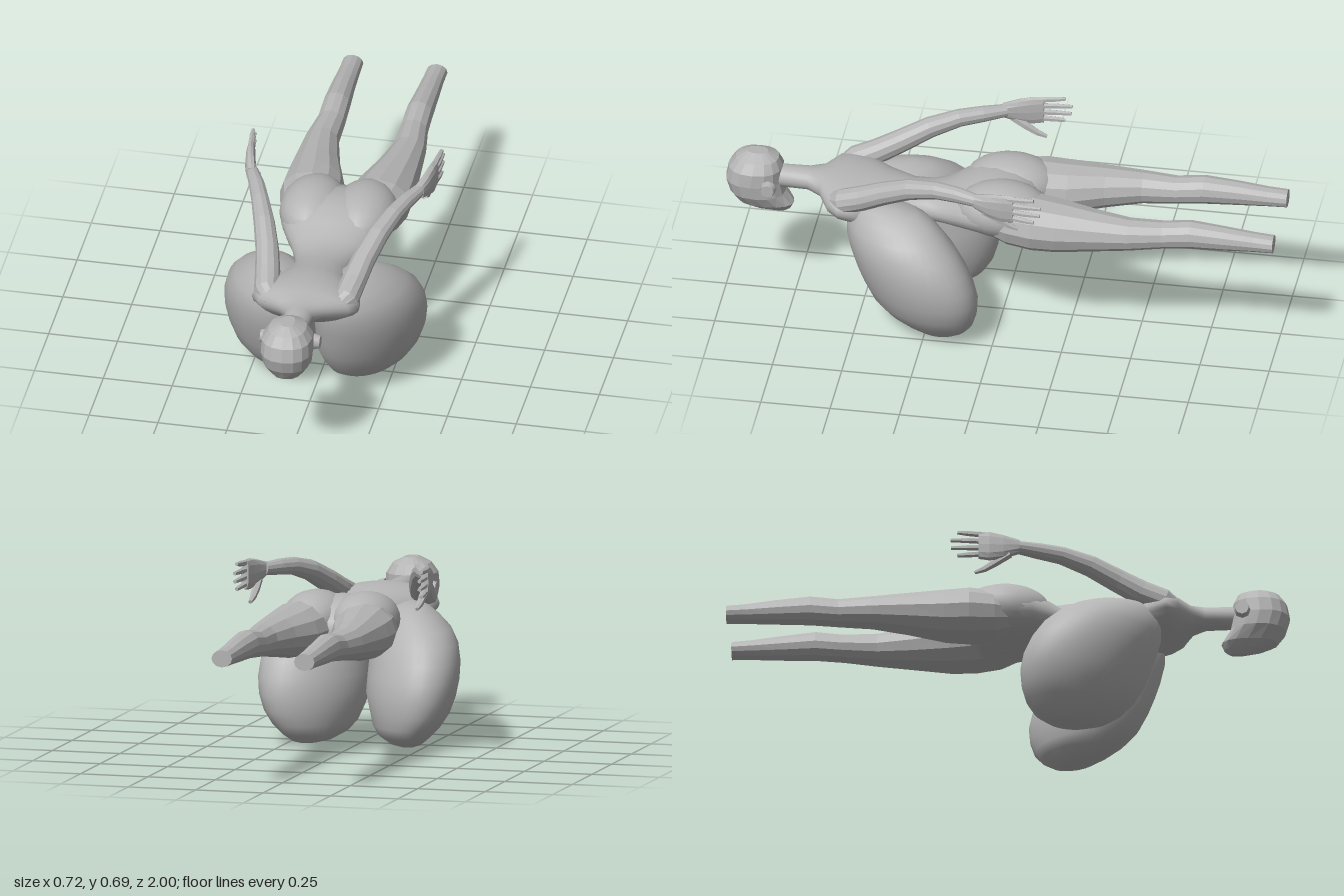
import * as THREE from 'three';

const V = (x, y, z) => new THREE.Vector3(x, y, z);

// Skin a list of rounded rings {c, u, v}; u x v points along the travel direction.
// power 1 gives ellipses, lower values give squarer rings.
function loft(rings, sides, flat = true, power = 1) {
  const pos = [], idx = [];
  const bulge = (t) => Math.sign(t) * Math.abs(t) ** power;
  for (const { c, u, v } of rings)
    for (let i = 0; i < sides; i++) {
      const a = (i / sides) * Math.PI * 2;
      const p = c.clone().addScaledVector(u, bulge(Math.cos(a))).addScaledVector(v, bulge(Math.sin(a)));
      pos.push(p.x, p.y, p.z);
    }
  const last = rings.length - 1;
  for (let r = 0; r < last; r++)
    for (let i = 0; i < sides; i++) {
      const j = (i + 1) % sides, a = r * sides, b = a + sides;
      idx.push(a + i, a + j, b + j, a + i, b + j, b + i);
    }
  // End caps
  const s = pos.length / 3;
  pos.push(...rings[0].c.toArray(), ...rings[last].c.toArray());
  for (let i = 0; i < sides; i++) {
    const j = (i + 1) % sides;
    idx.push(s, j, i, s + 1, last * sides + i, last * sides + j);
  }
  let g = new THREE.BufferGeometry();
  g.setAttribute('position', new THREE.Float32BufferAttribute(pos, 3));
  g.setIndex(idx);
  if (flat) g = g.toNonIndexed();
  g.computeVertexNormals();
  return g;
}

// Rows along z: [z, centre x, half width, bottom y, top y]
const alongZ = (rows, m = 1) => rows.map(([z, x, hx, y0, y1]) => ({
  c: V(x * m, (y0 + y1) / 2, z), u: V(hx, 0, 0), v: V(0, (y1 - y0) / 2, 0),
}));

// Rows along y: [y, min x, max x, min z, max z]; skew swings the outer side backwards
const alongY = (rows, m = 1, skew = 0) => rows.map(([y, x0, x1, z0, z1]) => {
  const hz = (z1 - z0) / 2;
  return {
    c: V(m * (x0 + x1) / 2, y, (z0 + z1) / 2),
    u: V(0, 0, hz * Math.sqrt(1 - skew * skew)),
    v: V((x1 - x0) / 2, 0, -m * skew * hz),
  };
});

// Tapered limb through points [x, y, z, radius]
function alongPath(pts, m = 1) {
  const p = pts.map(([x, y, z]) => V(x * m, y, z));
  return p.map((c, i) => {
    const d = p[Math.min(i + 1, p.length - 1)].clone().sub(p[Math.max(i - 1, 0)]).normalize();
    const u = V(0, 1, 0).addScaledVector(d, -d.y).normalize();
    const v = d.clone().cross(u);
    return { c, u: u.multiplyScalar(pts[i][3]), v: v.multiplyScalar(pts[i][3]) };
  });
}

export function createModel() {
  const model = new THREE.Group();
  model.name = 'proneFigure';
  const grey = new THREE.MeshStandardMaterial({ color: 0xb4b4b4 });
  grey.name = 'clay grey';
  const add = (name, geometry) => {
    const mesh = new THREE.Mesh(geometry, grey);
    mesh.name = name;
    model.add(mesh);
    return mesh;
  };

  // Torso from the hips to the neck
  add('torso', loft(alongZ([
    [-0.14, 0, 0.07, 0.40, 0.49],
    [-0.10, 0, 0.15, 0.37, 0.54],
    [-0.04, 0, 0.205, 0.365, 0.563],
    [0.03, 0, 0.205, 0.372, 0.57],
    [0.09, 0, 0.188, 0.378, 0.56],
    [0.15, 0, 0.158, 0.38, 0.535],
    [0.20, 0, 0.128, 0.38, 0.507],
    [0.26, 0, 0.104, 0.375, 0.497],
    [0.33, 0, 0.102, 0.36, 0.50],
    [0.42, 0, 0.135, 0.345, 0.52],
    [0.50, 0, 0.182, 0.36, 0.535],
    [0.57, 0, 0.196, 0.39, 0.535],
    [0.61, 0, 0.165, 0.405, 0.53],
    [0.65, 0, 0.085, 0.43, 0.52],
    [0.70, 0, 0.05, 0.44, 0.52],
    [0.85, 0, 0.042, 0.44, 0.52],
  ]), 24, false));

  // Head, face turned down, crown to the front
  add('head', loft(alongY([
    [0.336, -0.012, 0.012, 0.785, 0.85],
    [0.352, -0.035, 0.035, 0.765, 0.91],
    [0.375, -0.06, 0.06, 0.755, 0.955],
    [0.42, -0.086, 0.086, 0.785, 0.985],
    [0.47, -0.093, 0.093, 0.795, 1.0],
    [0.52, -0.09, 0.09, 0.795, 0.99],
    [0.555, -0.067, 0.067, 0.81, 0.965],
    [0.577, -0.025, 0.025, 0.85, 0.925],
  ]), 16, true, 0.85));
  const nose = add('nose', new THREE.ConeGeometry(0.016, 0.05, 4));
  nose.position.set(0, 0.352, 0.835);
  nose.rotation.x = Math.PI - 0.4;

  for (const [side, m] of [['left', 1], ['right', -1]]) {
    const ear = add(side + 'Ear', new THREE.CylinderGeometry(0.024, 0.03, 0.024, 8));
    ear.rotation.z = -m * Math.PI / 2;
    ear.position.set(m * 0.096, 0.472, 0.835);

    // Large rounded bust, hanging to the ground and splayed outwards
    add(side + 'Breast', loft(alongY([
      [0.00, 0.15, 0.21, 0.17, 0.235],
      [0.008, 0.11, 0.235, 0.14, 0.30],
      [0.035, 0.062, 0.268, 0.10, 0.36],
      [0.07, 0.035, 0.302, 0.075, 0.41],
      [0.12, 0.018, 0.334, 0.06, 0.455],
      [0.18, 0.0, 0.354, 0.055, 0.487],
      [0.24, 0.0, 0.362, 0.068, 0.51],
      [0.30, 0.0, 0.359, 0.095, 0.53],
      [0.36, 0.0, 0.342, 0.135, 0.545],
      [0.41, 0.005, 0.308, 0.185, 0.545],
      [0.45, 0.03, 0.258, 0.235, 0.53],
      [0.475, 0.07, 0.215, 0.285, 0.505],
      [0.488, 0.12, 0.18, 0.35, 0.46],
    ], m, 0.36), 36, false, 0.95));

    const buttock = add(side + 'Buttock', new THREE.SphereGeometry(1, 20, 14));
    buttock.scale.set(0.12, 0.1, 0.17);
    buttock.position.set(m * 0.092, 0.484, -0.015);

    // Leg, cut off flat at the ankle
    add(side + 'Leg', loft(alongZ([
      [-1.00, 0.153, 0.038, 0.445, 0.507],
      [-0.93, 0.152, 0.039, 0.443, 0.512],
      [-0.82, 0.152, 0.044, 0.437, 0.525],
      [-0.70, 0.15, 0.05, 0.432, 0.536],
      [-0.60, 0.15, 0.052, 0.422, 0.522],
      [-0.48, 0.158, 0.062, 0.408, 0.525],
      [-0.35, 0.147, 0.082, 0.388, 0.537],
      [-0.22, 0.13, 0.108, 0.366, 0.55],
      [-0.13, 0.122, 0.117, 0.362, 0.558],
      [-0.04, 0.115, 0.103, 0.37, 0.55],
      [0.04, 0.11, 0.07, 0.40, 0.52],
    ], m), 12));

    // Arm swept back and up
    add(side + 'Arm', loft(alongPath([
      [0.115, 0.465, 0.60, 0.036],
      [0.145, 0.486, 0.555, 0.046],
      [0.157, 0.516, 0.48, 0.045],
      [0.175, 0.556, 0.40, 0.042],
      [0.207, 0.604, 0.30, 0.038],
      [0.242, 0.632, 0.20, 0.032],
      [0.27, 0.639, 0.12, 0.029],
      [0.303, 0.642, 0.04, 0.023],
    ], m), 12));

    // Hand: thin palm, four fingers, thumb
    add(side + 'Palm', loft(alongZ([
      [-0.09, 0.333, 0.014, 0.585, 0.692],
      [-0.05, 0.328, 0.018, 0.58, 0.692],
      [0.00, 0.318, 0.02, 0.592, 0.682],
      [0.055, 0.303, 0.02, 0.617, 0.667],
    ], m), 12, true, 0.8));
    [-0.165, -0.188, -0.19, -0.165].forEach((tip, i) => {
      const y = 0.604 + i * 0.025;
      add(side + 'Finger' + (i + 1), loft(alongPath([
        [0.332, y, -0.07, 0.011],
        [0.339, y + (i - 1.5) * 0.003, -0.13, 0.01],
        [0.342, y + (i - 1.5) * 0.005, tip, 0.007],
      ], m), 6));
    });
    add(side + 'Thumb', loft(alongPath([
      [0.314, 0.61, 0.02, 0.016],
      [0.31, 0.58, -0.03, 0.015],
      [0.309, 0.556, -0.07, 0.012],
      [0.309, 0.543, -0.105, 0.007],
    ], m), 6));
  }
  return model;
}
